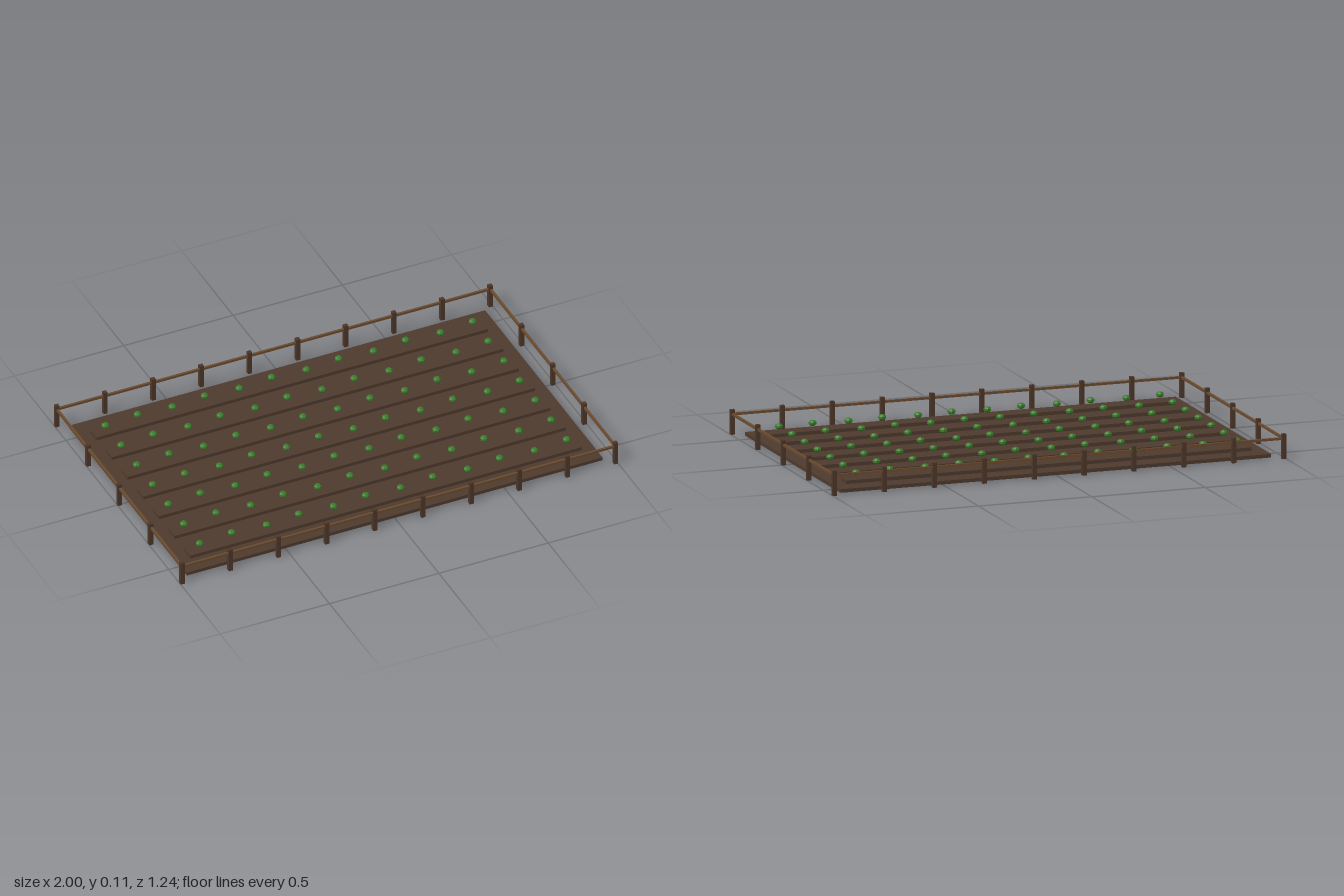
import * as THREE from 'three';

export function createModel() {
  const model = new THREE.Group();
  model.name = 'fencedField';

  const material = (name, color) => {
    const m = new THREE.MeshStandardMaterial({ color });
    m.name = name;
    return m;
  };
  const soil = material('soilBrown', 0x4e3a2d);
  const postWood = material('postWood', 0x4c3628);
  const railWood = material('railWood', 0x6a4a2e);
  const leaf = material('leafGreen', 0x3a7a2a);
  leaf.flatShading = true;

  const add = (name, geometry, mat, x, y, z) => {
    const mesh = new THREE.Mesh(geometry, mat);
    mesh.name = name;
    mesh.position.set(x, y, z);
    model.add(mesh);
    return mesh;
  };

  // Ground slab
  add('ground', new THREE.BoxGeometry(1.9, 0.015, 1.14), soil, 0, 0.0075, 0);

  // Raised beds, each with a zigzag row of small crops
  const bedGeometry = new THREE.BoxGeometry(1.79, 0.015, 0.06);
  const cropGeometry = new THREE.SphereGeometry(0.0175, 7, 5).scale(1, 0.75, 1);
  for (let row = 0; row < 7; row++) {
    const z = (row - 3) * 0.1525;
    add('bed', bedGeometry, soil, 0, 0.0225, z);
    for (let i = 0; i < 12; i++) {
      const offset = i % 2 ? -0.012 : 0.001;
      add('crop', cropGeometry, leaf, -0.84 + i * 0.1535 - i * 0.0003 * 78 / 11 * 11 / 78, 0.057, z + offset);
    }
  }

  // Fence posts along the long and short sides
  const X = 0.991, Z = 0.609;
  const postGeometry = new THREE.BoxGeometry(0.018, 0.106, 0.018);
  for (const side of [-1, 1]) {
    for (let i = 0; i < 10; i++) {
      add('post', postGeometry, postWood, -X + (2 * X * i) / 9, 0.053, side * Z);
    }
    for (let i = 1; i < 4; i++) {
      add('post', postGeometry, postWood, side * X, 0.053, -Z + (2 * Z * i) / 4);
    }
  }

  // Rails
  const longRail = new THREE.BoxGeometry(2 * X, 0.01, 0.01);
  const shortRail = new THREE.BoxGeometry(0.01, 0.01, 2 * Z);
  for (const side of [-1, 1]) {
    add('longRail', longRail, railWood, 0, 0.086, side * Z);
    add('shortRail', shortRail, railWood, side * X, 0.086, 0);
  }

  return model;
}
